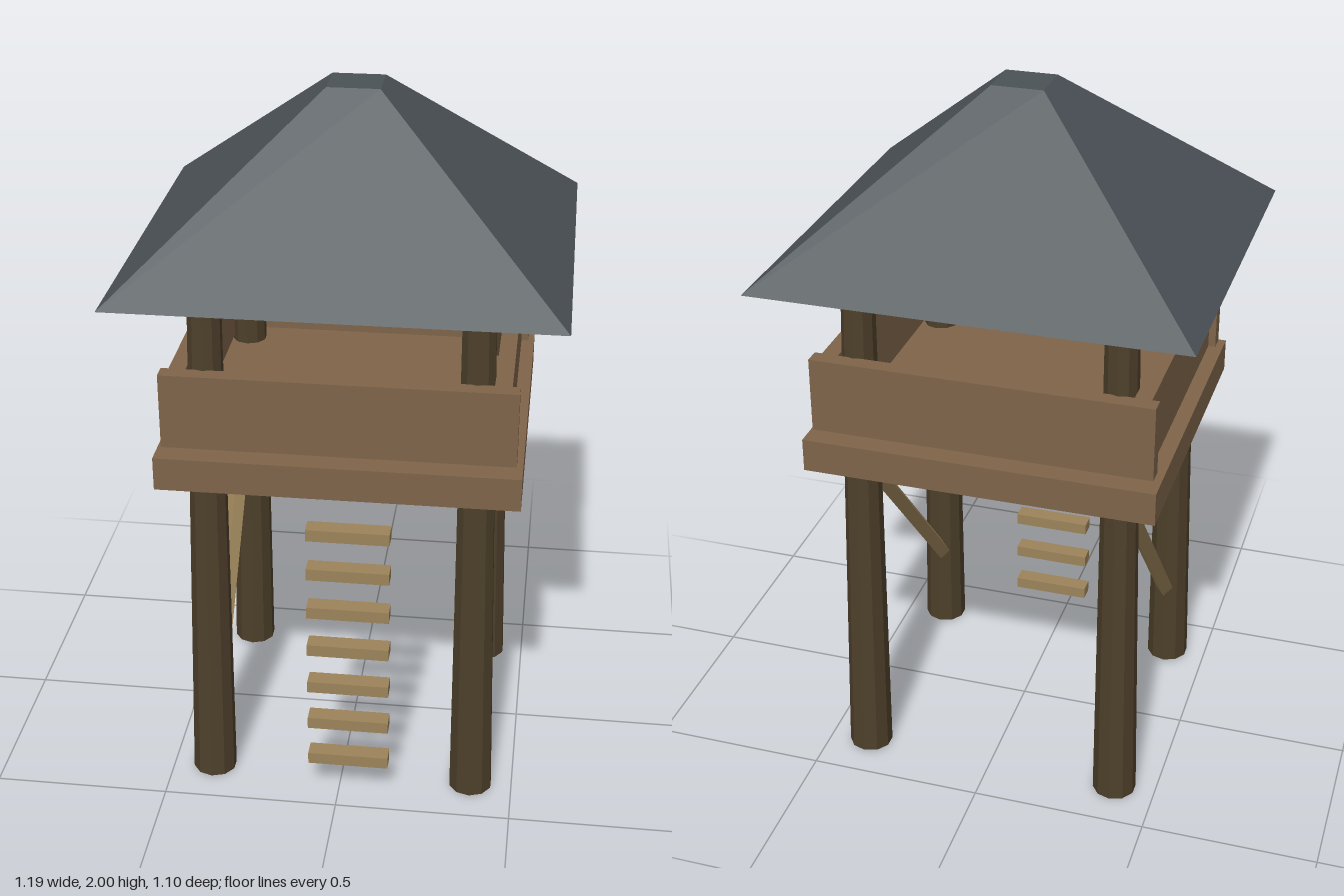
import * as THREE from 'three';

const material = (name, color) => {
  const m = new THREE.MeshStandardMaterial({ color, flatShading: true });
  m.name = name;
  return m;
};

export function createModel() {
  const tower = new THREE.Group();
  tower.name = 'watchtower';

  const slate = material('slate', 0x4b5257);
  const plank = material('plankBrown', 0x7e6449);
  const log = material('darkLog', 0x4d3f2a);
  const pale = material('paleTimber', 0x9c845a);

  const add = (name, geometry, mat, x = 0, y = 0, z = 0) => {
    const mesh = new THREE.Mesh(geometry, mat);
    mesh.name = name;
    mesh.position.set(x, y, z);
    tower.add(mesh);
    return mesh;
  };

  // Tapered log running between two points
  const beam = (name, from, to, rFrom, rTo, sides, mat) => {
    const a = new THREE.Vector3(...from);
    const b = new THREE.Vector3(...to);
    const dir = b.clone().sub(a);
    const mesh = add(name, new THREE.CylinderGeometry(rTo, rFrom, dir.length(), sides), mat);
    mesh.position.copy(a).add(b).multiplyScalar(0.5);
    mesh.quaternion.setFromUnitVectors(new THREE.Vector3(0, 1, 0), dir.normalize());
  };

  // Four posts leaning slightly inwards
  for (const sx of [-1, 1]) {
    for (const sz of [-1, 1]) {
      beam('post', [sx * 0.38, 0, sz * 0.35], [sx * 0.361, 1.55, sz * 0.332], 0.063, 0.045, 10, log);
    }
    // Diagonal side brace, square section set on edge
    beam('brace', [sx * 0.372, 0.225, 0.342], [sx * 0.372, 0.995, -0.338], 0.027, 0.027, 4, pale);
  }

  // Platform and the parapet around it
  add('platform', new THREE.BoxGeometry(0.985, 0.095, 0.92), plank, 0, 1.038, 0);
  for (const s of [-1, 1]) {
    add('parapetPanel', new THREE.BoxGeometry(0.952, 0.213, 0.046), plank, 0, 1.208, s * 0.4);
    add('parapetSide', new THREE.BoxGeometry(0.046, 0.213, 0.754), plank, s * 0.432, 1.208, 0);
  }

  // Ladder rungs
  for (let i = 0; i < 7; i++) {
    add('ladderRung', new THREE.BoxGeometry(0.23, 0.035, 0.05), pale, 0.03, 0.122 + i * 0.1245, 0.425);
  }

  // Hipped roof with a small flat top
  const roof = new THREE.CylinderGeometry(0.12 * Math.SQRT2, Math.SQRT2, 0.455, 4);
  roof.rotateY(Math.PI / 4);
  roof.scale(0.596, 1, 0.549);
  add('roof', roof, slate, 0, 1.7725, 0);

  return tower;
}
